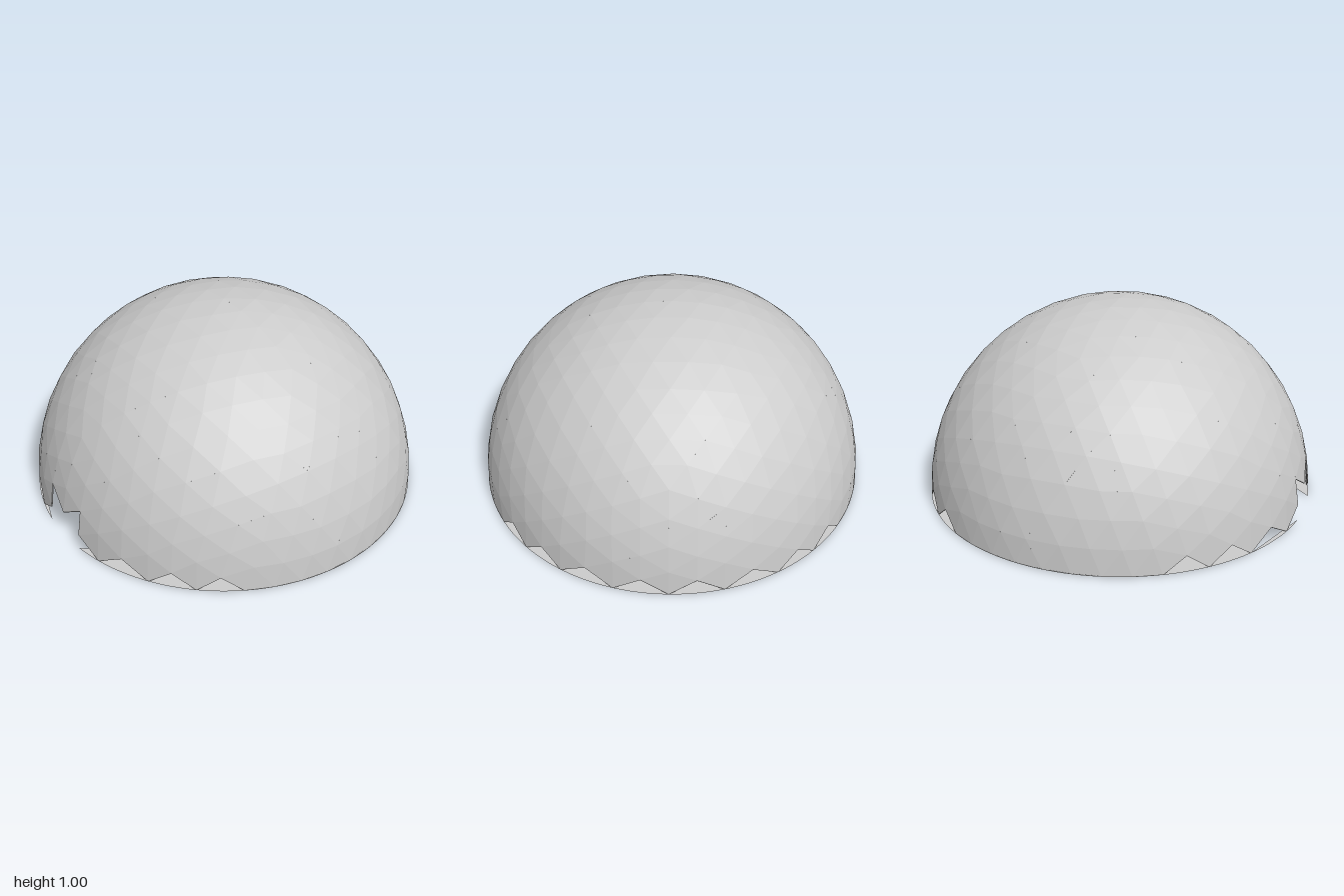
import * as THREE from 'three';
import { mergeGeometries } from 'three/addons/utils/BufferGeometryUtils.js';

const DOOR = 0.15; // half width of the doorway cut from the shell
const grey = (extra = {}) => new THREE.MeshStandardMaterial({ color: 0xcccccc, ...extra });

// Split each triangle in four, pushing the midpoints out to the unit sphere
function subdivide(tris) {
  const mid = (p, q) => p.clone().add(q).normalize();
  return tris.flatMap(([a, b, c]) => {
    const ab = mid(a, b), bc = mid(b, c), ca = mid(c, a);
    return [[a, ab, ca], [ab, b, bc], [ca, bc, c], [ab, bc, ca]];
  });
}

function domeTriangles() {
  const p = new THREE.IcosahedronGeometry(1, 0).getAttribute('position');
  let tris = [];
  for (let i = 0; i < p.count; i += 3)
    tris.push([0, 1, 2].map(k => new THREE.Vector3().fromBufferAttribute(p, i + k).normalize()));
  for (let i = 0; i < 3; i++) tris = subdivide(tris);
  // keep whole triangles above ground, except those in the doorway
  return tris.filter(t => {
    if (t.some(v => v.y < -1e-4)) return false;
    const inDoor = t.every(v => v.z > 0 && Math.abs(v.x) < DOOR && v.y < 0.23);
    return !inDoor;
  });
}

// Thin three-sided bar along each shared edge
function strutGeometry(tris) {
  const seen = new Set(), bars = [];
  const key = v => v.toArray().map(n => Math.round(n * 1000)).join();
  const up = new THREE.Vector3(0, 1, 0);
  for (const t of tris) {
    for (let k = 0; k < 3; k++) {
      const a = t[k], b = t[(k + 1) % 3];
      const id = [key(a), key(b)].sort().join('|');
      if (seen.has(id)) continue;
      seen.add(id);
      const dir = b.clone().sub(a), len = dir.length();
      const bar = new THREE.CylinderGeometry(0.003, 0.003, len, 4, 1, true);
      bar.applyQuaternion(new THREE.Quaternion().setFromUnitVectors(up, dir.normalize()));
      const m = a.clone().add(b).multiplyScalar(0.4985);
      bar.translate(m.x, Math.max(m.y, 0.003), m.z);
      bars.push(bar);
    }
  }
  return mergeGeometries(bars);
}

// Piece of the ground disc between an arc and its chord; angles run from +x towards +z
function discPiece(from, to) {
  const rad = THREE.MathUtils.degToRad;
  const shape = new THREE.Shape();
  shape.absarc(0, 0, 1, rad(from), rad(to), false);
  return new THREE.ShapeGeometry(shape, 48).rotateX(Math.PI / 2);
}

export function createModel() {
  const group = new THREE.Group();
  const add = (name, geometry, material) => {
    const mesh = new THREE.Mesh(geometry, material);
    mesh.name = name;
    group.add(mesh);
    return mesh;
  };

  // Faceted shell with a jagged lower rim and a doorway at the front
  const tris = domeTriangles();
  const shell = new THREE.BufferGeometry().setFromPoints(tris.flat());
  shell.computeVertexNormals();
  add('domePanels', shell, grey({ flatShading: true, side: THREE.DoubleSide }));
  add('domeStruts', strutGeometry(tris), grey({ flatShading: true }));

  // Ground disc, open in a wedge behind the doorway
  const floor = mergeGeometries([discPiece(122, 360), discPiece(0, 82.3), discPiece(97.7, 122)]);
  add('floor', floor, grey({ side: THREE.DoubleSide }));

  // Low block inside with a small front hatch
  add('innerBlock', new THREE.BoxGeometry(1.06, 0.105, 1.02), grey()).position.y = 0.0725;
  add('hatch', new THREE.BoxGeometry(0.1, 0.08, 0.01), grey()).position.set(0, 0.077, 0.512);

  return group;
}
